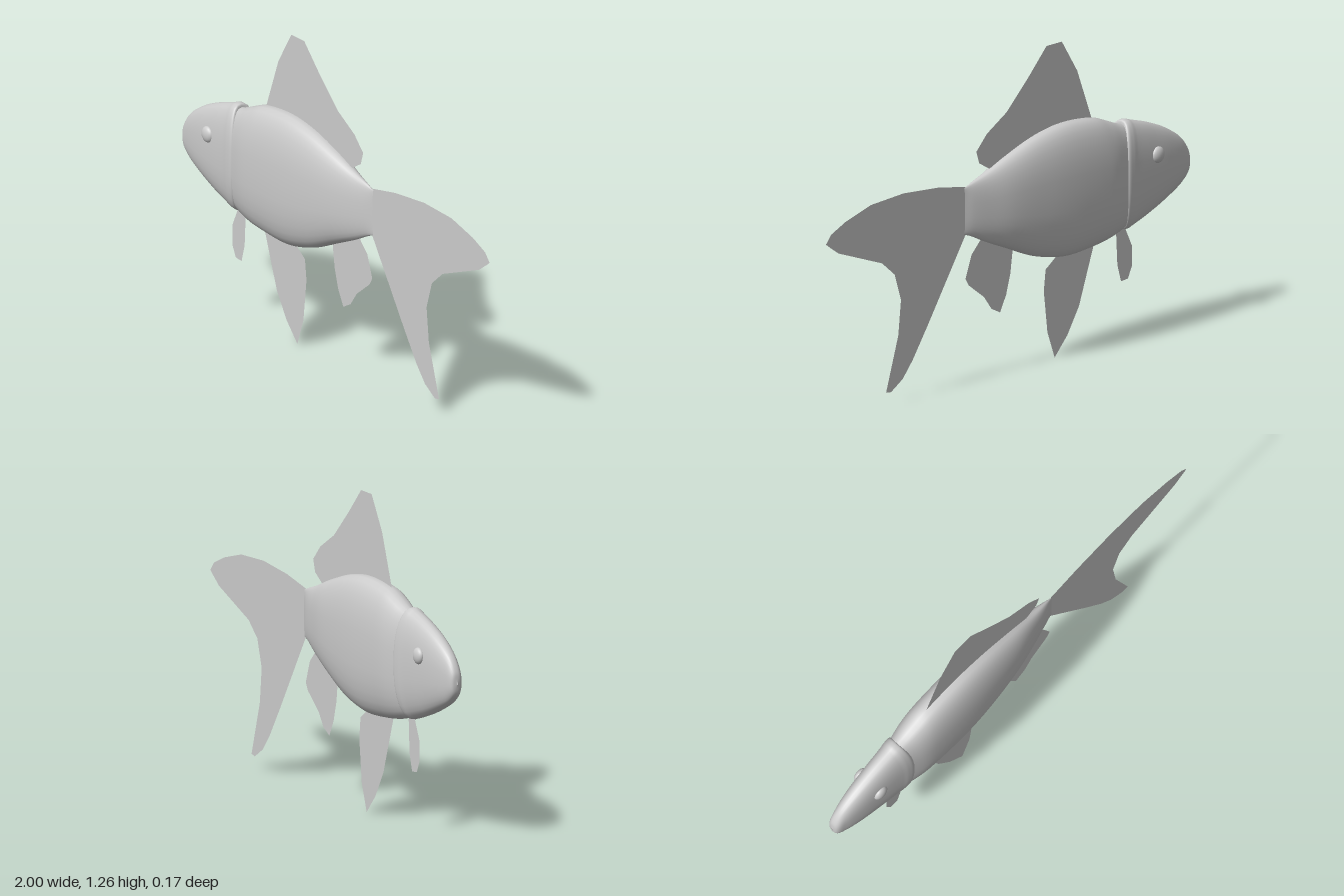
import * as THREE from 'three';

const skin = new THREE.MeshStandardMaterial({ color: 0xcccccc, side: THREE.DoubleSide });
skin.name = 'pale grey';

// Smooth skin through oval sections, each [x, bottom, top, halfWidth].
// sweep(t) pushes the sides of a ring backwards.
function loft(name, rows, steps, sweep = () => 0) {
  const N = 32, P = 2 / 2.4;
  const curve = f => new THREE.CatmullRomCurve3(rows.map(f), false, 'centripetal');
  const outline = curve(r => new THREE.Vector3(r[0], r[1], r[2]));
  const widths = new THREE.CatmullRomCurve3(rows.map(r => new THREE.Vector3(r[0], r[3], 0)), false, 'centripetal');
  const power = v => Math.sign(v) * Math.pow(Math.abs(v), P);
  const pos = [], idx = [];
  for (let i = 0; i <= steps; i++) {
    const t = i / steps, o = outline.getPoint(t), w = Math.max(widths.getPoint(t).y, 0);
    const mid = (o.y + o.z) / 2, half = (o.z - o.y) / 2;
    for (let j = 0; j < N; j++) {
      const a = (j / N) * Math.PI * 2, s = Math.sin(a);
      pos.push(o.x + sweep(t) * s * s, mid + half * power(Math.cos(a)), w * power(s));
      if (i < steps) {
        const k = (j + 1) % N, p = i * N, q = p + N;
        idx.push(p + j, p + k, q + j, p + k, q + k, q + j);
      }
    }
  }
  const g = new THREE.BufferGeometry();
  g.setAttribute('position', new THREE.Float32BufferAttribute(pos, 3));
  g.setIndex(idx);
  g.computeVertexNormals();
  const m = new THREE.Mesh(g, skin);
  m.name = name;
  return m;
}

// Paper-thin fin in the middle plane.
function fin(name, points) {
  const shape = new THREE.Shape(points.map(p => new THREE.Vector2(...p)));
  const m = new THREE.Mesh(new THREE.ShapeGeometry(shape), skin);
  m.name = name;
  return m;
}

export function createModel() {
  const fish = new THREE.Group();
  fish.name = 'fish';

  // Body, tapering to a vertical edge at the tail
  fish.add(loft('body', [
    [-0.70, 0.47, 0.85, 0.045], [-0.61, 0.437, 0.872, 0.066], [-0.54, 0.42, 0.90, 0.08],
    [-0.47, 0.41, 0.925, 0.085], [-0.30, 0.402, 0.94, 0.087], [-0.15, 0.433, 0.92, 0.08],
    [0.01, 0.50, 0.87, 0.063], [0.125, 0.55, 0.825, 0.037], [0.20, 0.587, 0.80, 0.017],
    [0.235, 0.60, 0.787, 0.004],
  ], 54));

  // Head with a rounded gill cover lip
  fish.add(loft('head', [
    [-1.0, 0.64, 0.65, 0.002], [-0.992, 0.60, 0.692, 0.022], [-0.955, 0.562, 0.745, 0.034],
    [-0.875, 0.52, 0.80, 0.048], [-0.77, 0.476, 0.845, 0.058], [-0.68, 0.447, 0.873, 0.066],
    [-0.655, 0.44, 0.881, 0.07], [-0.635, 0.442, 0.879, 0.069], [-0.63, 0.46, 0.86, 0.05],
  ], 48, t => 0.035 * t * t));

  // Eyes
  for (const side of [1, -1]) {
    const eye = new THREE.Mesh(new THREE.SphereGeometry(0.033, 20, 14), skin);
    eye.scale.z = 0.55;
    eye.position.set(-0.782, 0.72, side * 0.053);
    eye.name = side > 0 ? 'leftEye' : 'rightEye';
    fish.add(eye);
  }

  // Fins
  fish.add(
    fin('dorsalFin', [[-0.47, 0.92], [-0.39, 1.13], [-0.305, 1.265], [-0.22, 1.265], [-0.12, 1.16],
      [0, 1.045], [0.11, 0.98], [0.168, 0.92], [0.152, 0.87], [0.085, 0.83], [-0.15, 0.85], [-0.4, 0.85]]),
    fin('tailFin', [[0.22, 0.79], [0.38, 0.82], [0.57, 0.837], [0.75, 0.828], [0.89, 0.79], [0.97, 0.755],
      [1, 0.72], [0.98, 0.705], [0.93, 0.67], [0.69, 0.58], [0.62, 0.52], [0.585, 0.41], [0.6, 0.27],
      [0.667, 0.055], [0.64, 0.05], [0.575, 0.09], [0.52, 0.155], [0.435, 0.28], [0.22, 0.61]]),
    fin('pelvicFin', [[-0.485, 0.42], [-0.4, 0.18], [-0.335, 0.075], [-0.265, 0], [-0.225, 0.11],
      [-0.205, 0.28], [-0.215, 0.365], [-0.28, 0.41], [-0.3, 0.45], [-0.45, 0.45]]),
    fin('analFin', [[-0.035, 0.5], [-0.02, 0.39], [0.003, 0.31], [0.037, 0.245], [0.085, 0.27],
      [0.125, 0.325], [0.21, 0.39], [0.228, 0.42], [0.195, 0.51], [0.14, 0.565], [0.06, 0.58]]),
    fin('pectoralFin', [[-0.65, 0.45], [-0.693, 0.36], [-0.693, 0.28], [-0.67, 0.233], [-0.632, 0.23],
      [-0.612, 0.3], [-0.605, 0.43], [-0.62, 0.46]]),
  );
  return fish;
}
